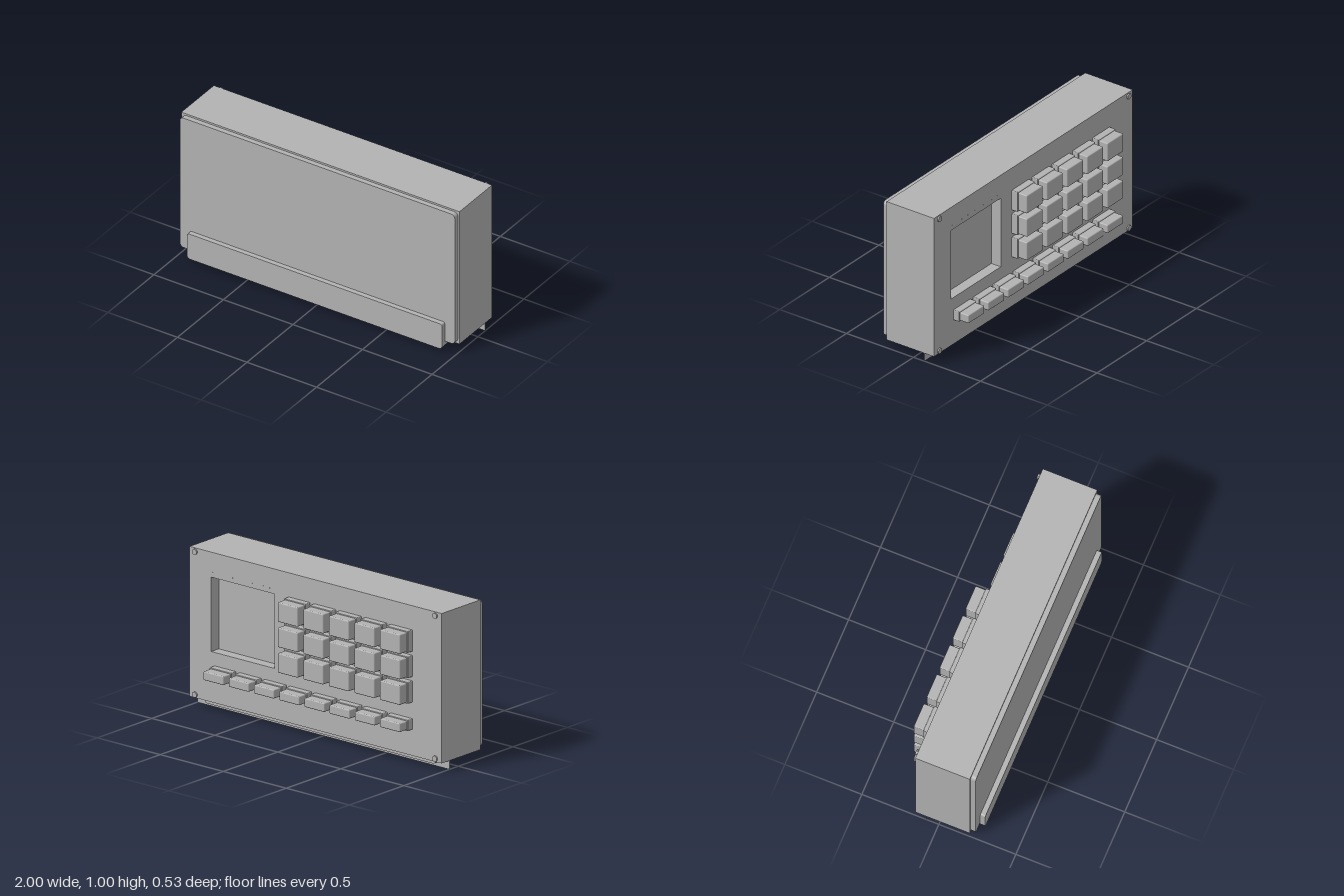
import * as THREE from 'three';
import { RoundedBoxGeometry } from 'three/addons/geometries/RoundedBoxGeometry.js';

const grey = new THREE.MeshStandardMaterial({ color: 0xb3b3b3 });
grey.name = 'grey plastic';

// Rectangle outline with separate radii for the bottom and top corners
function outline(x0, x1, y0, y1, rBottom = 0, rTop = rBottom) {
  const s = new THREE.Shape();
  s.moveTo(x0 + rBottom, y0);
  s.lineTo(x1 - rBottom, y0);
  if (rBottom) s.absarc(x1 - rBottom, y0 + rBottom, rBottom, -Math.PI / 2, 0);
  s.lineTo(x1, y1 - rTop);
  if (rTop) s.absarc(x1 - rTop, y1 - rTop, rTop, 0, Math.PI / 2);
  s.lineTo(x0 + rTop, y1);
  if (rTop) s.absarc(x0 + rTop, y1 - rTop, rTop, Math.PI / 2, Math.PI);
  s.lineTo(x0, y0 + rBottom);
  if (rBottom) s.absarc(x0 + rBottom, y0 + rBottom, rBottom, Math.PI, Math.PI * 1.5);
  return s;
}

export function createModel() {
  const model = new THREE.Group();
  model.name = 'keypadTerminal';

  const add = (name, geometry, x = 0, y = 0, z = 0, parent = model) => {
    const mesh = new THREE.Mesh(geometry, grey);
    mesh.name = name;
    mesh.position.set(x, y, z);
    parent.add(mesh);
    return mesh;
  };
  const slab = (name, shape, z0, z1) => add(name,
    new THREE.ExtrudeGeometry(shape, { depth: z1 - z0, bevelEnabled: false, curveSegments: 8 }), 0, 0, z0);

  // Housing, with the display recess cut through its rear layer
  const back = -0.153;
  const recessFloor = -0.083;
  add('housing', new THREE.BoxGeometry(2, 0.945, 0.201 - recessFloor), 0, 0.5275, (0.201 + recessFloor) / 2);
  const face = outline(-1, 1, 0.055, 1);
  face.holes.push(outline(0.327, 0.829, 0.373, 0.842));
  slab('keypadFace', face, back, recessFloor);

  // Front cover and L-shaped foot
  slab('frontCover', outline(-0.988, 0.988, 0.065, 0.988, 0.025), 0.201, 0.234);
  slab('footFront', outline(-0.916, 0.916, 0.022, 0.2, 0.022, 0.012), 0.234, 0.266);
  slab('footBase', outline(-0.916, 0.916, 0.022, 0.056, 0.022, 0), -0.112, 0.234);

  // Thin board edge showing below the housing
  add('boardEdge', new THREE.BoxGeometry(2, 0.06, 0.003), 0, 0.03, -0.08);

  // Keys: a wider skirt with a cap on top
  const addKey = (name, x, y, capHeight) => {
    const key = new THREE.Group();
    key.name = name;
    key.position.set(x, y, 0);
    add('skirt', new RoundedBoxGeometry(0.174, capHeight + 0.013, 0.06, 2, 0.005), 0, 0, -0.167, key);
    add('cap', new RoundedBoxGeometry(0.16, capHeight, 0.075, 2, 0.007), 0, 0, -0.2245, key);
    model.add(key);
  };
  for (const y of [0.78, 0.62, 0.459])
    for (let i = 0; i < 5; i++) addKey('largeKey', -0.682 + i * 0.203, y, 0.123);
  for (let i = 0; i < 8; i++) addKey('smallKey', -0.682 + i * 0.2, 0.254, 0.056);

  // Corner screws
  const neck = new THREE.CylinderGeometry(0.012, 0.012, 0.01, 16).rotateX(Math.PI / 2);
  const head = new THREE.CylinderGeometry(0.018, 0.018, 0.009, 20).rotateX(Math.PI / 2);
  for (const x of [-0.953, 0.953])
    for (const y of [0.077, 0.978]) {
      add('screwNeck', neck, x, y, -0.155);
      add('screwHead', head, x, y, -0.1615);
    }

  // Tiny indicator dots above the display
  const dot = new THREE.CylinderGeometry(0.003, 0.003, 0.004, 8).rotateX(Math.PI / 2);
  for (const x of [0.816, 0.72, 0.66, 0.59, 0.505, 0.416, 0.365]) add('indicator', dot, x, 0.873, back);

  return model;
}
